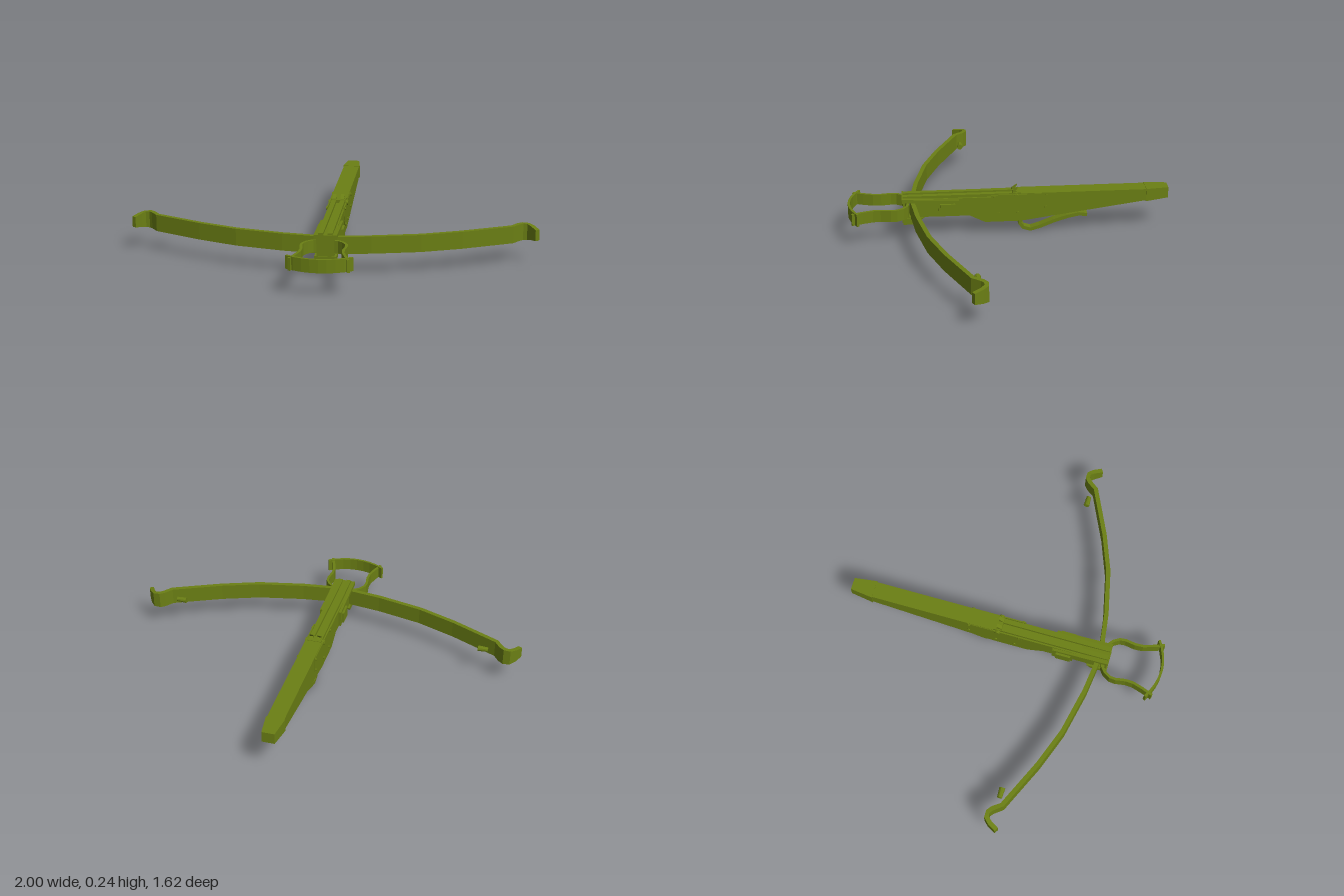
import * as THREE from 'three';

const material = new THREE.MeshStandardMaterial({ color: 0x6b7f14, flatShading: true });

// Rectangular strip swept along [u, v, halfWidth] points in the XY plane, width along Z
function band(points, thickness) {
  const rings = points.map(([u, v, w], i) => {
    const a = points[Math.max(i - 1, 0)], b = points[Math.min(i + 1, points.length - 1)];
    const len = Math.hypot(b[0] - a[0], b[1] - a[1]);
    const nx = -(b[1] - a[1]) / len * thickness / 2, ny = (b[0] - a[0]) / len * thickness / 2;
    return [[u - nx, v - ny, -w], [u + nx, v + ny, -w], [u + nx, v + ny, w], [u - nx, v - ny, w]];
  });
  const pos = [];
  const quad = (a, b, c, d) => pos.push(...a, ...b, ...c, ...a, ...c, ...d);
  for (let i = 0; i < rings.length - 1; i++) {
    for (let k = 0; k < 4; k++) {
      const n = (k + 1) % 4;
      quad(rings[i][k], rings[i][n], rings[i + 1][n], rings[i + 1][k]);
    }
  }
  const first = rings[0], last = rings[rings.length - 1];
  quad(first[0], first[3], first[2], first[1]);
  quad(...last);
  const geo = new THREE.BufferGeometry();
  geo.setAttribute('position', new THREE.Float32BufferAttribute(pos, 3));
  geo.computeVertexNormals();
  return geo;
}
// Strip lying in plan: points are [x, z, half height]
const planBand = (points, thickness) => band(points, thickness).rotateX(Math.PI / 2);

// Side profile given as [z, y], extruded across x
function profile(points, width, hole) {
  const shape = new THREE.Shape(points.map(p => new THREE.Vector2(...p)));
  if (hole) shape.holes.push(new THREE.Path(hole.map(p => new THREE.Vector2(...p))));
  return new THREE.ExtrudeGeometry(shape, { depth: width, bevelEnabled: false })
    .translate(0, 0, -width / 2).rotateY(-Math.PI / 2);
}

// Box from its limits
function block(x0, x1, y0, y1, z0, z1) {
  return new THREE.BoxGeometry(x1 - x0, y1 - y0, z1 - z0)
    .translate((x0 + x1) / 2, (y0 + y1) / 2, (z0 + z1) / 2);
}

export function createModel() {
  const model = new THREE.Group();
  const add = (name, geo) => {
    const mesh = new THREE.Mesh(geo, material);
    mesh.name = name;
    model.add(mesh);
    return mesh;
  };

  // Stock with a slot for the bow
  add('stock', profile([
    [0.53, 0.07], [0.53, 0.205], [-0.06, 0.205], [-0.06, 0.22], [-0.7, 0.22],
    [-0.7, 0.16], [-0.06, 0.07], [0.12, 0.07], [0.2, 0.11], [0.42, 0.11], [0.475, 0.07],
  ], 0.084, [[0.465, 0.115], [0.52, 0.115], [0.52, 0.19], [0.465, 0.19]]));

  // Tapered butt cap
  const cap = block(-0.046, 0.046, 0.155, 0.222, -0.81, -0.695);
  const p = cap.attributes.position;
  for (let i = 0; i < p.count; i++) {
    if (p.getZ(i) < -0.8) {
      p.setX(i, p.getX(i) * 0.68);
      if (p.getY(i) < 0.2) p.setY(i, 0.166);
    }
  }
  cap.computeVertexNormals();
  add('buttCap', cap);

  // Front clamps above and below the bow
  add('upperClamp', profile([[0.535, 0.192], [0.535, 0.212], [0.25, 0.198], [0.25, 0.192]], 0.11));
  add('lowerClamp', profile([[0.535, 0.085], [0.535, 0.108], [0.43, 0.108], [0.455, 0.085]], 0.104));

  // Bow limbs with recurved tips
  const limb = [
    [0, 0.487, 0.042], [0.21, 0.46, 0.042], [0.44, 0.41, 0.042], [0.63, 0.34, 0.042],
    [0.87, 0.23, 0.042], [0.9, 0.19, 0.042], [0.92, 0.174, 0.042], [0.947, 0.174, 0.04],
    [0.967, 0.195, 0.035], [0.99, 0.235, 0.027],
  ];
  const bowPath = [...limb.slice(1).reverse().map(([x, z, h]) => [-x, z, h]), ...limb];
  add('bow', planBand(bowPath, 0.022).translate(0, 0.15, 0));

  // Stirrup crossbar at the front
  const bar = [];
  for (let i = -4; i <= 4; i++) {
    const t = i / 4;
    bar.push([0.152 * t, 0.799 - 0.048 * t * t, 0.032]);
  }
  add('stirrupBar', planBand(bar, 0.012).translate(0, 0.152, 0));

  // Hooked nut and its axle
  add('nut', block(-0.036, 0.036, 0.2, 0.222, -0.062, -0.02));
  add('nutAxle', new THREE.CylinderGeometry(0.013, 0.013, 0.1, 12)
    .rotateZ(Math.PI / 2).translate(0, 0.205, -0.037));

  // Trigger lever
  add('trigger', band([
    [-0.06, 0.08, 0.02], [-0.058, 0.045, 0.02], [-0.075, 0.022, 0.02], [-0.112, 0.01, 0.02],
    [-0.16, 0.024, 0.02], [-0.23, 0.052, 0.02], [-0.3, 0.074, 0.02], [-0.36, 0.086, 0.02],
    [-0.4, 0.08, 0.02],
  ], 0.018).rotateY(-Math.PI / 2));

  // Parts on both sides
  for (const s of [1, -1]) {
    const side = s > 0 ? 'left' : 'right';
    const sided = (name, geo, x, y = 0, z = 0) =>
      add(side + name, geo).position.set(s * x, y, z);

    sided('Rail', block(-0.012, 0.012, 0.2, 0.22, -0.02, 0.53), 0.022);

    // String hook on the nut
    sided('NutHook', profile([
      [-0.055, 0.215], [-0.015, 0.215], [-0.02, 0.228], [-0.045, 0.245], [-0.035, 0.23],
    ], 0.018), 0.02);

    // Lock plate and rivets
    sided('LockPlate', profile([
      [0.09, 0.216], [0.09, 0.17], [0.083, 0.14], [0.068, 0.12], [0.05, 0.11],
      [-0.03, 0.108], [-0.195, 0.133], [-0.195, 0.216],
    ], 0.006), 0.042);
    for (const [z, y] of [[0.073, 0.205], [0.052, 0.118], [-0.045, 0.118], [-0.187, 0.143], [-0.187, 0.206]]) {
      sided('Rivet', new THREE.CylinderGeometry(0.007, 0.007, 0.014, 8).rotateZ(Math.PI / 2), 0.043, y, z);
    }

    // Side brackets
    sided('BracketPlate', block(-0.008, 0.008, 0.115, 0.192, 0.25, 0.355), 0.046);
    sided('BracketBlock', block(-0.008, 0.008, 0.125, 0.182, 0.27, 0.345), 0.057);

    // Stirrup arm
    const arm = [
      [0.03, 0.505], [0.06, 0.51], [0.085, 0.53], [0.103, 0.56], [0.106, 0.59],
      [0.098, 0.64], [0.1, 0.68], [0.115, 0.73], [0.135, 0.783],
    ].map(([x, z]) => [s * x, z, 0.03]);
    add(side + 'StirrupArm', planBand(arm, 0.013).translate(0, 0.15, 0));

    // Short sleeve behind the limb
    sided('LimbSleeve', new THREE.CylinderGeometry(0.015, 0.012, 0.05, 10)
      .rotateZ(s * Math.PI / 2), 0.808, 0.15, 0.205);
  }
  return model;
}
